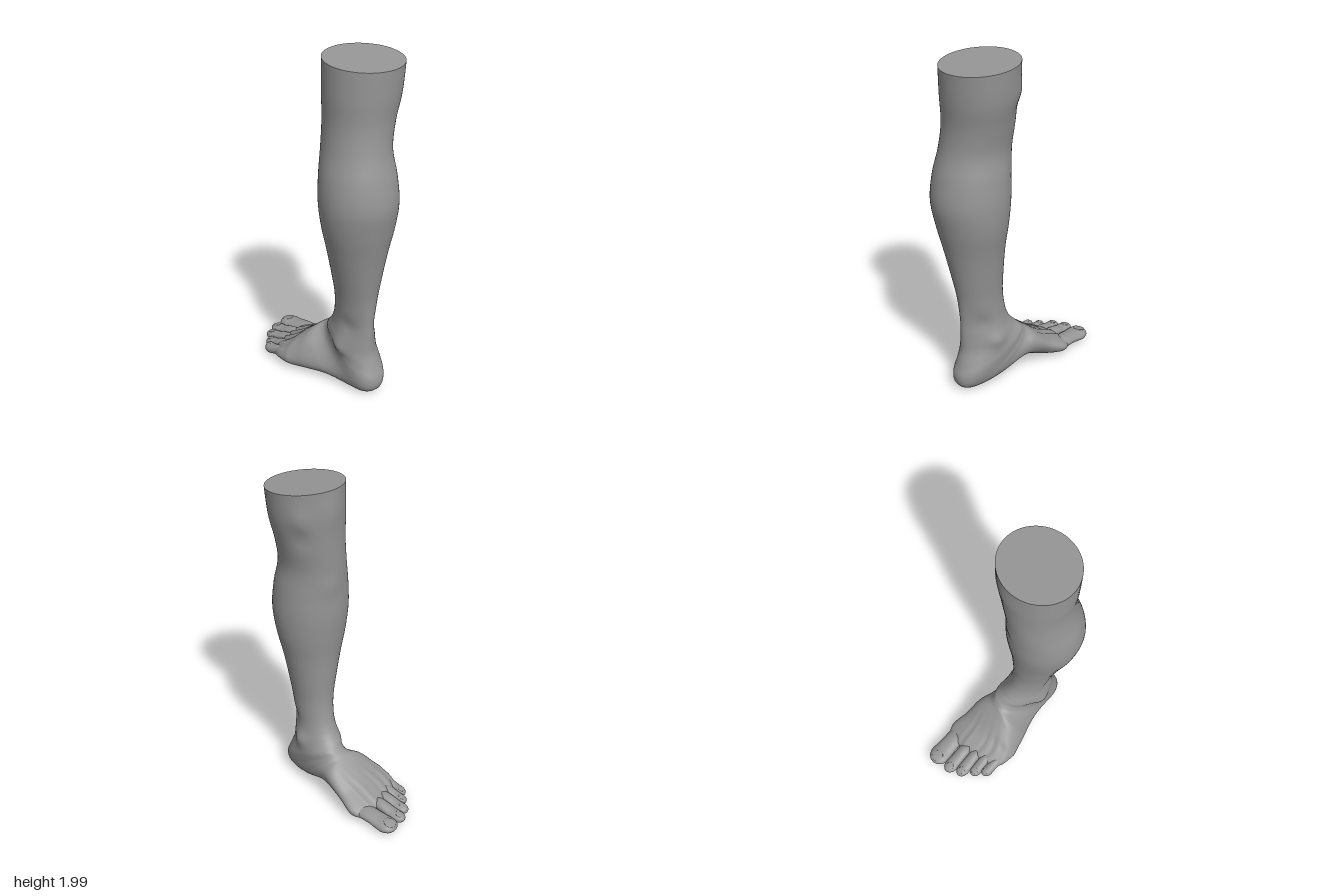
import * as THREE from 'three';

const skin = new THREE.MeshStandardMaterial({ color: 0x969696 });
const { smoothstep } = THREE.MathUtils;

// Smoothly resample a table of cross-section rows
function resample(rows, steps) {
  const out = [];
  const at = (i) => rows[Math.max(0, Math.min(rows.length - 1, i))];
  for (let i = 0; i < rows.length - 1; i++) {
    for (let s = 0; s < steps; s++) {
      const t = s / steps;
      out.push(rows[i].map((_, c) => {
        const a = at(i - 1)[c], b = at(i)[c], d = at(i + 1)[c], e = at(i + 2)[c];
        return b + 0.5 * t * (d - a + t * (2 * a - 5 * b + 4 * d - e + t * (3 * (b - d) + e - a)));
      }));
    }
  }
  out.push(rows[rows.length - 1]);
  return out;
}

// Skin a list of rings, closing both ends with flat fans
function loft(name, rings) {
  const n = rings[0].length;
  const points = rings.flat();
  const index = [];
  for (let i = 0; i < rings.length - 1; i++) {
    for (let j = 0; j < n; j++) {
      const a = i * n + j, b = i * n + (j + 1) % n;
      index.push(a, b, a + n, b, b + n, a + n);
    }
  }
  [rings[0], rings[rings.length - 1]].forEach((ends, end) => {
    const base = points.length;
    const centre = new THREE.Vector3();
    ends.forEach((p) => centre.addScaledVector(p, 1 / n));
    points.push(centre, ...ends);
    for (let j = 0; j < n; j++) {
      const a = base + 1 + j, b = base + 1 + (j + 1) % n;
      if (end) index.push(base, a, b);
      else index.push(base, b, a);
    }
  });
  const geometry = new THREE.BufferGeometry().setFromPoints(points);
  geometry.setIndex(index);
  geometry.computeVertexNormals();
  const mesh = new THREE.Mesh(geometry, skin);
  mesh.name = name;
  return mesh;
}

const ring = (n, fn) => Array.from({ length: n }, (_, j) => fn((j / n) * Math.PI * 2));
const bell = (v, middle, width) => Math.exp(-(((v - middle) / width) ** 2));

// Soft anatomical bumps: x, y, z, radius, height
const bumps = [
  [0.14, 0.32, 0.23, 0.055, 0.018],   // inner ankle bone
  [-0.10, 0.27, 0.25, 0.05, 0.018],   // outer ankle bone
  [0.03, 1.86, 0.05, 0.08, 0.008],    // kneecap
  [0.20, 1.84, 0.11, 0.06, 0.01],     // knee side pad
  [0.18, 1.72, 0.12, 0.06, -0.008],   // hollow below the knee
  [0.02, 1.40, 0.08, 0.06, 0.006],    // shin bump
  [0.11, 0.44, 0.31, 0.06, -0.012],   // hollows beside the heel tendon
  [-0.08, 0.42, 0.31, 0.06, -0.012],
];

function bulge(p, centre) {
  const out = p.clone().sub(centre).normalize();
  let push = 0;
  for (const [x, y, z, r, h] of bumps) {
    push += h * bell(p.x, x, r) * bell(p.y, y, r) * bell(p.z, z, r);
  }
  return p.addScaledVector(out, push);
}

// x min, x max, front z, front y, back z, back y
const shinRows = [
  [-0.18, 0.27, 0.045, 2.0, 0.48, 1.96],
  [-0.18, 0.252, 0.05, 1.81, 0.473, 1.8],
  [-0.176, 0.215, 0.058, 1.65, 0.462, 1.65],
  [-0.19, 0.19, 0.066, 1.5, 0.475, 1.5],
  [-0.217, 0.207, 0.074, 1.35, 0.511, 1.35],
  [-0.226, 0.216, 0.077, 1.2, 0.528, 1.2],
  [-0.207, 0.203, 0.092, 1.05, 0.503, 1.05],
  [-0.17, 0.172, 0.11, 0.9, 0.468, 0.9],
  [-0.134, 0.148, 0.12, 0.75, 0.437, 0.75],
  [-0.102, 0.13, 0.125, 0.6, 0.41, 0.6],
  [-0.09, 0.126, 0.11, 0.48, 0.4, 0.46],
  [-0.092, 0.13, 0.085, 0.41, 0.4, 0.37],
  [-0.1, 0.138, 0.055, 0.365, 0.4, 0.3],
];

// Rings swing round the instep to form the heel, then run on as the foot:
// front becomes top and back becomes sole
const footRows = [
  [-0.1, 0.142, 0.035, 0.345, 0.405, 0.24],
  [-0.09, 0.148, 0.02, 0.33, 0.43, 0.165],
  [-0.088, 0.152, 0.01, 0.32, 0.453, 0.1],
  [-0.09, 0.15, 0, 0.312, 0.447, 0.045],
  [-0.095, 0.146, -0.008, 0.305, 0.41, 0.015],
  [-0.108, 0.144, -0.016, 0.297, 0.34, 0.008],
  [-0.13, 0.14, -0.025, 0.29, 0.26, 0.012],
  [-0.162, 0.138, -0.035, 0.28, 0.17, 0.022],
  [-0.194, 0.135, -0.05, 0.268, 0.08, 0.024],
  [-0.218, 0.13, -0.075, 0.248, 0, 0.02],
  [-0.245, 0.128, -0.12, 0.212, -0.085, 0.016],
  [-0.258, 0.13, -0.175, 0.172, -0.165, 0.012],
  [-0.266, 0.138, -0.23, 0.142, -0.23, 0.012],
  [-0.266, 0.138, -0.275, 0.118, -0.275, 0.014],
  [-0.255, 0.122, -0.31, 0.098, -0.31, 0.022],
  [-0.235, 0.1, -0.333, 0.078, -0.333, 0.04],
];

function makeLegAndFoot() {
  const power = (v, e) => Math.sign(v) * Math.abs(v) ** e;
  const rings = resample([...shinRows, ...footRows], 6).map(([xl, xr, fz, fy, bz, by]) => {
    const centre = new THREE.Vector3((xl + xr) / 2, (fy + by) / 2, (fz + bz) / 2);
    const soft = 0.82 + 0.18 * smoothstep(by, 0.05, 0.3);  // boxier sole
    const pinch = 0.32 * bell(by, 0.4, 0.17);              // narrow heel tendon
    const lean = 0.06 * bell(bz, -0.05, 0.17);             // instep high on the inside
    const arch = 0.045 * bell(bz, 0.03, 0.12);
    const fore = smoothstep(-bz, -0.02, 0.3);              // tendons, slanted toe line
    return ring(72, (a) => {
      const u = power(Math.cos(a), soft), s = power(Math.sin(a), soft);
      const squeeze = 1 - pinch * Math.max(0, s) ** 2;
      const p = new THREE.Vector3(
        centre.x + u * squeeze * (xr - xl) / 2 - lean * s,
        centre.y + s * (by - fy) / 2,
        centre.z + s * (bz - fz) / 2);
      if (s > 0) p.y += arch * s * Math.max(0, u + 0.3);
      else if (u < 0.45) p.y -= 0.008 * s * fore * Math.cos((u - 0.17) / 0.29 * Math.PI * 2);
      p.z -= 0.42 * fore * Math.min(0, p.x + 0.02);
      return bulge(p, centre);
    });
  });
  return loft('legAndFoot', rings);
}

// Toe from knuckle to rounded tip, with its nail
function makeToe({ name, base, tip, width, height, rise }) {
  const start = new THREE.Vector2(...base), end = new THREE.Vector2(...tip);
  const dir = end.clone().sub(start).normalize();
  // Along, width factor, height factor, centre lift factor
  const rows = [
    [0, 0.85, 0.9, 0.7], [0.25, 0.9, 0.98, 1], [0.45, 0.9, 0.95, 0.75], [0.62, 0.96, 0.96, 0.25],
    [0.78, 1, 1, 0], [0.9, 0.82, 0.82, 0], [0.97, 0.48, 0.48, 0], [1, 0.06, 0.06, 0],
  ];
  const rings = resample(rows, 5).map(([t, w, h, lift]) => ring(28, (a) => {
    const c = start.clone().lerp(end, t);
    const side = Math.cos(a) * w * width;
    return new THREE.Vector3(
      c.x - dir.y * side,
      0.012 + height + lift * rise - Math.sin(a) * h * height,
      c.y + dir.x * side);
  }));
  const group = new THREE.Group();
  group.name = name;
  const nail = new THREE.Mesh(new THREE.SphereGeometry(1, 20, 12), skin);
  nail.name = 'toenail';
  const at = start.clone().lerp(end, 0.85);
  nail.scale.set(width * 0.55, height * 0.14, width * 0.6);
  nail.position.set(at.x, 0.012 + height * 1.83, at.y);
  nail.rotation.set(-0.3, Math.atan2(-dir.x, -dir.y), 0, 'YXZ');
  group.add(loft('toeBody', rings), nail);
  return group;
}

export function createModel() {
  const model = new THREE.Group();
  model.name = 'lowerLeg';
  model.add(makeLegAndFoot());
  const toes = [
    { name: 'bigToe', base: [0.07, -0.25], tip: [0.003, -0.53], width: 0.064, height: 0.034, rise: 0.016 },
    { name: 'secondToe', base: [-0.035, -0.25], tip: [-0.095, -0.495], width: 0.043, height: 0.031, rise: 0.028 },
    { name: 'thirdToe', base: [-0.1, -0.22], tip: [-0.162, -0.445], width: 0.04, height: 0.03, rise: 0.028 },
    { name: 'fourthToe', base: [-0.16, -0.18], tip: [-0.21, -0.372], width: 0.036, height: 0.03, rise: 0.027 },
    { name: 'littleToe', base: [-0.22, -0.14], tip: [-0.25, -0.313], width: 0.034, height: 0.032, rise: 0.018 },
  ];
  toes.forEach((toe) => model.add(makeToe(toe)));
  return model;
}
